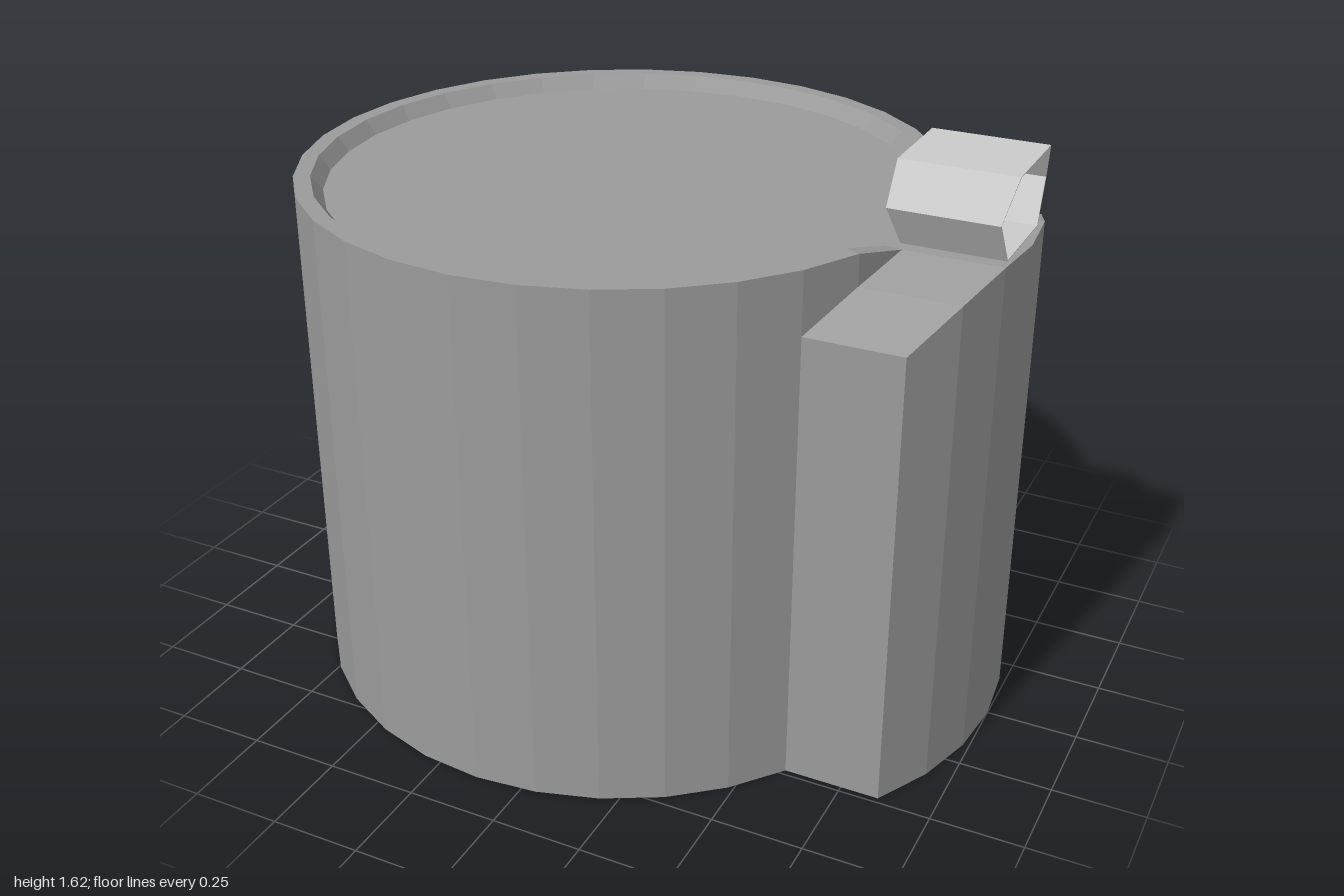
import * as THREE from 'three';

const SIDES = 32, RADIUS = 0.87, CENTER_X = -0.13, STEP = (Math.PI * 2) / SIDES;

// Flat-faced geometry from a list of four-cornered faces
function quadGeometry(quads) {
  const pos = quads.flatMap(([a, b, c, d]) => [a, b, c, a, c, d].flat());
  const geo = new THREE.BufferGeometry();
  geo.setAttribute('position', new THREE.Float32BufferAttribute(pos, 3));
  geo.computeVertexNormals();
  return geo;
}

function addMesh(group, name, geo, color) {
  const mesh = new THREE.Mesh(geo, new THREE.MeshStandardMaterial({ color, flatShading: true }));
  mesh.name = name;
  group.add(mesh);
  return mesh;
}

// Round body with a raised rim that dips beside the hinge
function bodyGeometry() {
  const profile = [[0, 0], [RADIUS, 0], [RADIUS, 1.44], [0.825, 1.44], [0.795, 1.4], [0, 1.4]];
  const geo = new THREE.LatheGeometry(profile.map(([r, y]) => new THREE.Vector2(r, y)), SIDES);
  const p = geo.attributes.position;
  for (let i = 0; i < p.count; i++) {
    const angle = Math.abs(Math.atan2(p.getZ(i), p.getX(i)));
    if (p.getY(i) > 1.41 && angle < STEP * 1.5) p.setY(i, 1.4);
  }
  geo.computeVertexNormals();
  return geo;
}

// Side block: the body's arc swept outwards, with a stepped arched top
function blockGeometry() {
  const heights = [1.4, 1.4, 1.355, 1.27];
  const point = (i, out, top) => [
    CENTER_X + RADIUS * Math.cos(i * STEP) + out * 0.26,
    top ? heights[Math.abs(i)] : 0,
    RADIUS * Math.sin(i * STEP),
  ];
  const quads = [];
  for (let i = -3; i < 3; i++) {
    const j = i + 1;
    quads.push([point(i, 1, 0), point(i, 1, 1), point(j, 1, 1), point(j, 1, 0)]);
    quads.push([point(i, 0, 1), point(j, 0, 1), point(j, 1, 1), point(i, 1, 1)]);
    quads.push([point(i, 1, 0), point(j, 1, 0), point(j, 0, 0), point(i, 0, 0)]);
  }
  const cap = (i) => [point(i, 0, 0), point(i, 1, 0), point(i, 1, 1), point(i, 0, 1)];
  quads.push(cap(3), cap(-3).reverse());
  return quadGeometry(quads);
}

// Thin-walled hexagonal barrel lying along x, open at both ends
function barrelGeometry() {
  // inner end x, outer end x, y, z
  const half = [[0.705, 0.975, 1.4, 0.13], [0.685, 0.97, 1.51, 0.195], [0.685, 0.99, 1.615, 0.13]];
  const loop = [...half, ...half.map(([a, b, y, z]) => [a, b, y, -z]).reverse()];
  // end 0 or 1 along x, on the outer wall (scale 1) or the inner wall
  const point = (i, end, scale) => {
    const p = loop[i % loop.length];
    return [p[end], 1.51 + (p[2] - 1.51) * scale, p[3] * scale];
  };
  const quads = [], inner = 0.98;
  for (let i = 0; i < loop.length; i++) {
    const wall = (s) => [point(i, 0, s), point(i, 1, s), point(i + 1, 1, s), point(i + 1, 0, s)];
    const rim = (e) => [point(i, e, inner), point(i + 1, e, inner), point(i + 1, e, 1), point(i, e, 1)];
    quads.push(wall(1), wall(inner).reverse(), rim(1), rim(0).reverse());
  }
  return quadGeometry(quads);
}

export function createModel() {
  const group = new THREE.Group();
  group.name = 'container';
  addMesh(group, 'body', bodyGeometry(), 0x9b9b9b).position.x = CENTER_X;
  addMesh(group, 'sideBlock', blockGeometry(), 0x9b9b9b);
  addMesh(group, 'hingeBarrel', barrelGeometry(), 0xd2d2d2);
  return group;
}
